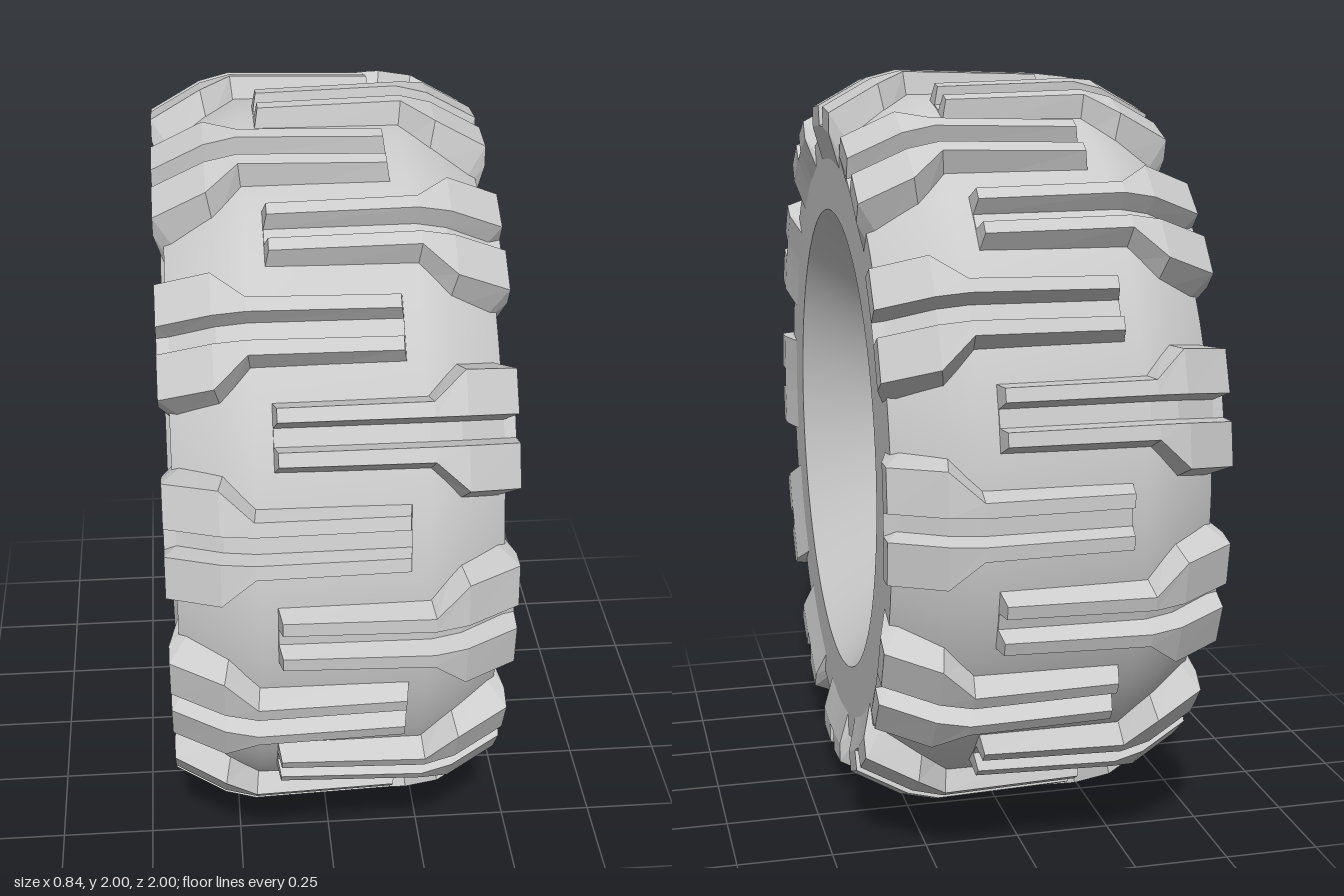
import * as THREE from 'three';
import { toCreasedNormals } from 'three/addons/utils/BufferGeometryUtils.js';
import { RoundedBoxGeometry } from 'three/addons/geometries/RoundedBoxGeometry.js';

const grey = new THREE.MeshStandardMaterial({ color: 0xcccccc });
const flatGrey = new THREE.MeshStandardMaterial({ color: 0xcccccc, flatShading: true });

// Surface of revolution about the x axis; points are [radius, x], running from -x to +x on the outside
function turned(name, points) {
  const lathe = new THREE.LatheGeometry(points.map(([r, x]) => new THREE.Vector2(r, x)), 72);
  lathe.rotateZ(-Math.PI / 2);
  const mesh = new THREE.Mesh(toCreasedNormals(lathe, 0.4), grey);
  mesh.name = name;
  return mesh;
}

// Tread lug: stations along x, each with top, base, half width and groove depth (0..1)
function lugGeometry() {
  const stations = [
    { top: [-0.165, 0.9], base: [-0.165, 0.9], w: 0.09, d: 0 },
    { top: [-0.15, 0.99], base: [-0.165, 0.9], w: 0.09, d: 0.5 },
    { top: [0.21, 1.0], base: [0.2, 0.9], w: 0.092, d: 0.5 },
    { top: [0.29, 0.98], base: [0.27, 0.88], w: 0.163, d: 0.5 },
    { top: [0.42, 0.908], base: [0.36, 0.82], w: 0.163, d: 0.5 },
    { top: [0.42, 0.855], base: [0.36, 0.8], w: 0.163, d: 0 },
    { top: [0.393, 0.76], base: [0.36, 0.75], w: 0.163, d: 0 },
  ];
  const bevel = 0.022, groove = 0.034;
  const sections = stations.map(({ top, base, w, d }) => {
    const point = (t, sink) => {
      const x = THREE.MathUtils.lerp(top[0], base[0], sink);
      const r = THREE.MathUtils.lerp(top[1], base[1], sink);
      return [x, Math.sqrt(r * r - t * t), t];
    };
    const half = [[w, 1], [w - bevel, 0], [groove, 0], [groove * 0.65, d]];
    const other = half.map(([t, s]) => [-t, s]).reverse();
    return [...half, ...other].map(([t, s]) => point(t, s));
  });
  const positions = [];
  for (let i = 0; i < sections.length - 1; i++) {
    for (let j = 0; j < 7; j++) {
      const a = sections[i][j], b = sections[i + 1][j];
      const c = sections[i + 1][j + 1], e = sections[i][j + 1];
      positions.push(...a, ...b, ...c, ...a, ...c, ...e);
    }
  }
  const geometry = new THREE.BufferGeometry();
  geometry.setAttribute('position', new THREE.Float32BufferAttribute(positions, 3));
  geometry.computeVertexNormals();
  return geometry;
}

export function createModel() {
  const wheel = new THREE.Group();
  wheel.name = 'wheel';

  // Tyre carcass with the conical recess on the +x side
  wheel.add(turned('tyre', [
    [0.62, -0.395], [0.77, -0.395], [0.83, -0.395], [0.915, -0.28], [0.942, -0.2],
    [0.942, 0.2], [0.915, 0.28], [0.83, 0.395], [0.77, 0.395], [0.63, 0.395],
  ]));
  wheel.add(turned('innerRecess', [[0.63, 0.395], [0.44, 0.2], [0, 0.2]]));

  // Stepped rim on the -x side
  wheel.add(turned('rim', [
    [0.41, -0.12], [0.42, -0.26], [0.44, -0.285], [0.465, -0.285], [0.475, -0.3],
    [0.55, -0.3], [0.57, -0.32], [0.58, -0.375], [0.6, -0.4], [0.615, -0.408], [0.63, -0.395],
  ]));

  // Hub in the rim well, with a shallow cap and a bar across it
  wheel.add(turned('hub', [
    [0, -0.265], [0.19, -0.265], [0.2, -0.285], [0.215, -0.285],
    [0.3, -0.235], [0.31, -0.22], [0.32, -0.12], [0.41, -0.12],
  ]));
  const bar = new THREE.Mesh(new THREE.BoxGeometry(0.04, 0.035, 0.39), grey);
  bar.name = 'hubBar';
  bar.position.x = -0.27;
  bar.rotation.x = -0.34;
  wheel.add(bar);

  // Six rounded studs on the rim shelf
  const studShape = new RoundedBoxGeometry(0.06, 0.12, 0.075, 3, 0.025);
  for (let i = 0; i < 6; i++) {
    const stud = new THREE.Group();
    stud.name = 'rimStud';
    const body = new THREE.Mesh(studShape, grey);
    body.position.set(-0.305, 0, 0.51);
    stud.add(body);
    stud.rotation.x = (i * Math.PI) / 3;
    wheel.add(stud);
  }

  // Two interlocking rows of twelve lugs
  const lug = lugGeometry();
  const leftRow = new THREE.Group();
  leftRow.name = 'leftTread';
  for (let i = 0; i < 12; i++) {
    const mesh = new THREE.Mesh(lug, flatGrey);
    mesh.name = 'treadLug';
    mesh.rotation.x = (i * Math.PI) / 6;
    leftRow.add(mesh);
  }
  const rightRow = leftRow.clone();
  rightRow.name = 'rightTread';
  rightRow.rotation.set(Math.PI / 12, Math.PI, 0);
  wheel.add(leftRow, rightRow);

  wheel.position.y = 1;
  const model = new THREE.Group();
  model.add(wheel);
  return model;
}
